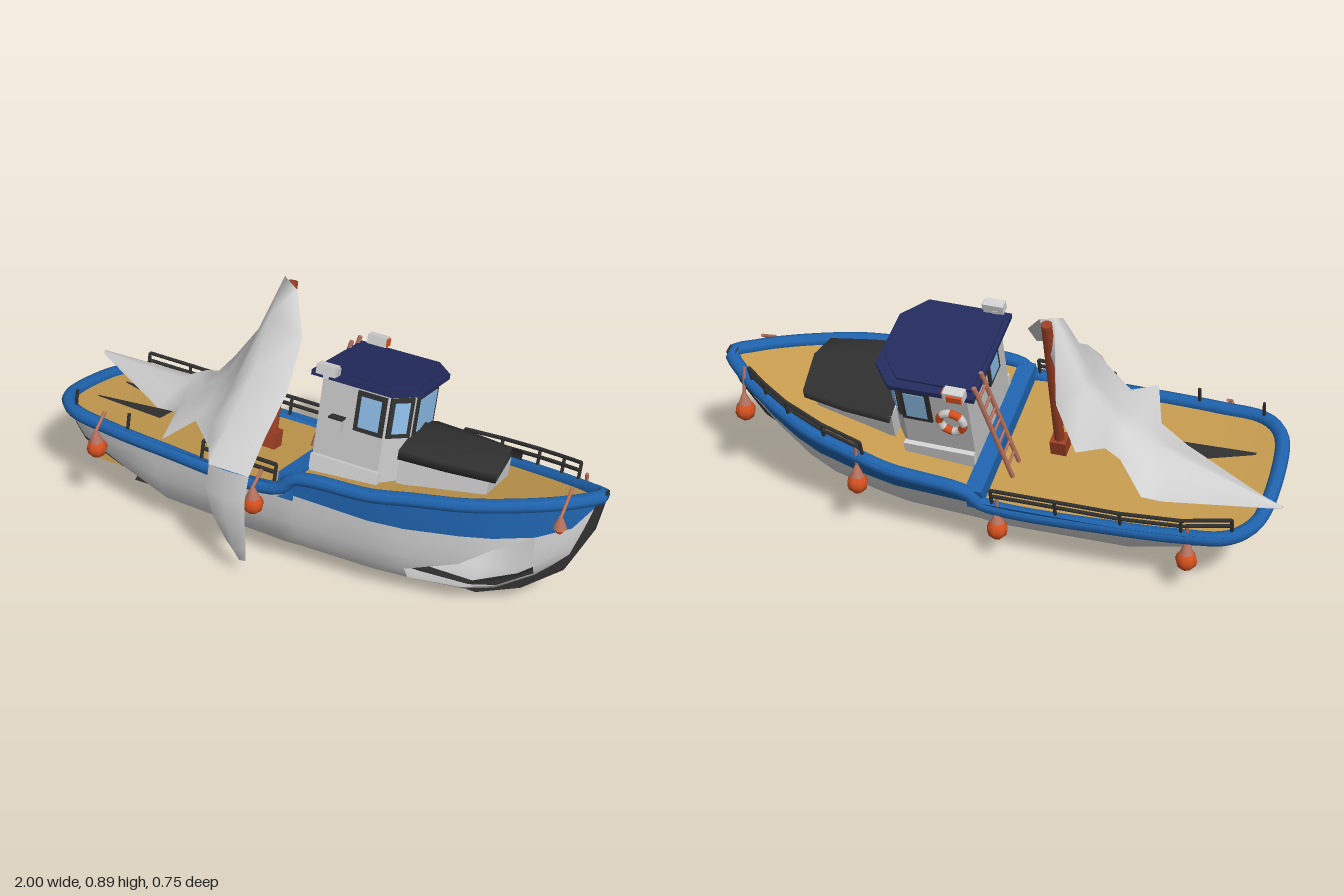
import * as THREE from 'three';

const mat = (name, color) => Object.assign(new THREE.MeshStandardMaterial({ color, side: THREE.DoubleSide }), { name });
const V = (p) => new THREE.Vector3(...p);

// Hull stations: x, half beam, keel height, sheer height, blue band start (0-1), section fullness
const ST = [
  [-.94, 0, .25, .328, .8, .26], [-.935, .17, .24, .328, .8, .26], [-.9, .24, .19, .325, .8, .25],
  [-.84, .28, .145, .316, .82, .25], [-.7, .297, .085, .305, .84, .25], [-.5, .309, .015, .296, .87, .25],
  [-.025, .315, 0, .291, .87, .25], [.03, .315, 0, .34, .76, .25], [.3, .303, 0, .361, .68, .25],
  [.42, .284, 0, .379, .65, .27], [.6, .245, .01, .401, .65, .31], [.7, .205, .04, .416, .62, .34],
  [.82, .145, .12, .437, .55, .42], [.92, .08, .22, .458, .5, .5], [.985, .01, .42, .477, .3, .5]];

function station(x) {
  let i = 1;
  while (i < ST.length - 1 && ST[i][0] < x) i++;
  const a = ST[i - 1], b = ST[i], k = THREE.MathUtils.clamp((x - a[0]) / (b[0] - a[0]), 0, 1);
  return a.map((v, j) => v + (b[j] - v) * k);
}
function hullPoint(s, t, side) {
  const [x, hb, keel, sheer, , full] = s;
  return [x, keel + (sheer - keel) * t, side * hb * Math.pow(t, full)];
}
const gunwale = (x, side, up = 0) => { const s = station(x); return [x, s[3] + up, side * Math.max(s[1] - .015, 0)]; };

// Surface through rows of points; skip(row, column, half) leaves triangles out
function loft(rows, skip = () => false) {
  const n = rows[0].length, idx = [];
  for (let i = 0; i < rows.length - 1; i++) for (let j = 0; j < n - 1; j++) {
    const a = i * n + j, b = a + n;
    if (!skip(i, j, 0)) idx.push(a, b, a + 1);
    if (!skip(i, j, 1)) idx.push(b, b + 1, a + 1);
  }
  const g = new THREE.BufferGeometry();
  g.setAttribute('position', new THREE.Float32BufferAttribute(rows.flat(2), 3));
  g.setIndex(idx);
  g.computeVertexNormals();
  return g;
}
// Horizontal slab with a symmetric outline of [x, z] points
function slab(half, y, h) {
  const pts = [...half, ...half.map(([x, z]) => [x, -z]).reverse()].map(p => new THREE.Vector2(...p));
  return new THREE.ExtrudeGeometry(new THREE.Shape(pts), { depth: h, bevelEnabled: false }).rotateX(-Math.PI / 2).translate(0, y, 0);
}

export function createModel() {
  const M = {
    white: mat('paleGrey', 0xd2d2d2), cabin: mat('cabinGrey', 0xc2c2c2), blue: mat('hullBlue', 0x1f63ad),
    black: mat('charcoal', 0x303030), tan: mat('deckTan', 0xc49a4e), navy: mat('roofNavy', 0x232b5e),
    glass: mat('glassBlue', 0x8ab9e2), orange: mat('buoyOrange', 0xd4501f), brown: mat('mastBrown', 0x9c3f24),
    rope: mat('ropePink', 0xb9745f)
  };
  const root = new THREE.Group(), boat = new THREE.Group();
  root.name = 'stormBoat';
  boat.name = 'heeledBoat';
  boat.rotation.x = -.3;
  boat.position.set(0, .025, .046);
  root.add(boat);
  const add = (name, geo, m, parent = boat) => {
    const o = new THREE.Mesh(geo, M[m]);
    o.name = name;
    parent.add(o);
    return o;
  };
  const box = (name, m, w, h, d, x, y, z, parent) => add(name, new THREE.BoxGeometry(w, h, d).translate(x, y, z), m, parent);
  const rod = (name, m, p, q, r, parent, sides = 6) => {
    const a = V(p), b = V(q), o = add(name, new THREE.CylinderGeometry(r, r, a.distanceTo(b), sides), m, parent);
    o.position.copy(a).lerp(b, .5);
    o.quaternion.setFromUnitVectors(new THREE.Vector3(0, 1, 0), b.sub(a).normalize());
    return o;
  };

  // Hull: pale below, with a ragged hole in the left bow, and a blue band above
  const low = [1, .8, .55, .3, .1, .03, 0];
  const hole = (i, j, half) =>
    (i === 9 && (j === 3 || (j === 2 && half))) ||
    ((i === 10 || i === 11) && j >= 2 && j <= 3) ||
    (i === 10 && j === 1 && half) || (i === 11 && (j === 1 || (j === 0 && half)));
  add('lowerHull', loft(ST.map(s => [
    ...low.map(f => hullPoint(s, f * s[4], 1)), ...low.slice(0, -1).reverse().map(f => hullPoint(s, f * s[4], -1))]), hole), 'white');
  for (const side of [1, -1])
    add('blueBand', loft(ST.map(s => [0, .5, 1].map(f => hullPoint(s, s[4] + (1 - s[4]) * f, side)))), 'blue');

  // Dark plating under the stern counter, tapering forward
  add('counterPlate', loft(ST.slice(0, 5).map((s, k) => [.16, .08, .02, 0, .02, .08, .16].map((t, i) => {
    const [x, y, z] = hullPoint(s, t * [1.4, 1.4, 1.2, 1, .3][k], i < 3 ? 1.02 : -1.02);
    return [x - .004, y - .005, z];
  }))), 'black');

  // Rounded gunwale all the way round
  const ring = ST.slice(1).map(s => gunwale(s[0], 1, -.02));
  const loop = [...ring, ...ring.slice(0, -1).reverse().map(([x, y, z]) => [x, y, -z])].map(V);
  add('gunwale', new THREE.TubeGeometry(new THREE.CatmullRomCurve3(loop, true), 160, .025, 8, true), 'blue');

  // Deck in two levels with a blue step between
  const deck = (xs) => loft(xs.map(x => { const s = station(x); return [1, -1].map(k => [x, s[3] - .02, k * Math.max(s[1] - .02, 0)]); }));
  add('aftDeck', deck([-.93, -.9, -.84, -.7, -.5, -.025]), 'tan');
  add('foreDeck', deck([.03, .3, .42, .6, .7, .82, .92, .98]), 'tan');
  box('deckStep', 'blue', .06, .09, .6, .002, .286, 0);
  for (const k of [1, -1])
    add('deckOpening', loft([[[-.86, .306, .1 * k], [-.86, .306, .09 * k]], [[-.6, .295, .1 * k], [-.6, .295, .01 * k]]]), 'black');

  // Stem, keel, skeg and stern post as one thin band
  const band = [[1, .475], [.98, .33], [.91, .17], [.78, .06], [.63, -.008], [-.72, -.008], [-.68, .07], [-.86, .13], [-.945, .225],
    [-.955, .32], [-.93, .32], [-.9, .24], [-.7, .13], [-.5, .005], [.6, .012], [.75, .09], [.87, .19], [.945, .34], [.965, .475]];
  add('keelAndStem', new THREE.ExtrudeGeometry(new THREE.Shape(band.map(p => new THREE.Vector2(...p))),
    { depth: .036, bevelEnabled: false }).translate(0, 0, -.018), 'black');

  // Rudder and propeller
  box('rudder', 'tan', .095, .1, .016, -.83, .075, 0);
  rod('propellerShaft', 'tan', [-.66, .07, 0], [-.75, .07, 0], .009);
  for (let i = 0; i < 3; i++) {
    const blade = box('propellerBlade', 'tan', .012, .045, .026, 0, .026, 0);
    blade.position.set(-.735, .07, 0);
    blade.rotation.x = i * Math.PI * 2 / 3;
  }

  // Wheelhouse
  add('cabin', slab([[.03, .175], [.27, .175], [.335, .095]], .31, .35), 'cabin');
  add('roof', slab([[-.005, .2], [.29, .203], [.365, .115]], .655, .018), 'navy');
  add('roofCrown', slab([[.01, .17], [.27, .17], [.34, .09]], .673, .007), 'navy');
  const windowAt = (x, z, nx, nz, w, h) => {
    const g = new THREE.Group();
    g.name = 'window';
    g.position.set(x, .57, z);
    g.rotation.y = Math.atan2(nx, nz);
    box('windowFrame', 'black', w, h, .009, 0, 0, .003, g);
    box('windowGlass', 'glass', w - .032, h - .032, .006, 0, 0, .007, g);
    boat.add(g);
  };
  windowAt(.335, 0, 1, 0, .175, .145);
  for (const k of [1, -1]) {
    windowAt(.3025, .135 * k, .08, .065 * k, .088, .14);
    windowAt(.215, .175 * k, 0, k, .105, .14);
    box('cabinSill', 'white', .25, .07, .02, .155, .345, .183 * k);
  }
  windowAt(.03, .06, -1, 0, .1, .13);
  box('wallBox', 'cabin', .045, .045, .03, .105, .505, .19);
  box('wallBoxTrim', 'black', .05, .007, .034, .105, .53, .19);

  // Forward trunk under a dark ridged cover
  add('trunk', slab([[.33, .15], [.63, .105]], .35, .1), 'cabin');
  const gable = (x, w) => [[x, .442, -w], [x, .475, -w], [x, .527, 0], [x, .475, w], [x, .442, w], [x, .5, 0], [x, .442, -w]];
  add('trunkCover', loft([gable(.33, .172), gable(.5, .157), gable(.66, .128)]), 'black');

  // Roof lamps
  for (const k of [1, -1]) {
    box('lampBracket', 'white', .02, .03, .02, .05, .67, .195 * k);
    box('lampBody', 'white', .07, .034, .036, .055, .69, .205 * k);
    box('lampLens', k > 0 ? 'cabin' : 'orange', .008, .026, .026, .092, .69, .205 * k);
  }
  box('sideLight', 'orange', .05, .024, .01, .05, .689, -.226);

  // Lifebuoy on the cabin side
  for (let i = 0; i < 8; i++) {
    const arc = add('lifebuoyPart', new THREE.TorusGeometry(.042, .014, 8, 4, Math.PI / 4), i % 2 ? 'white' : 'orange');
    arc.position.set(.09, .53, -.19);
    arc.rotation.z = i * Math.PI / 4;
  }

  // Ladder up to the roof
  const ladder = (k, z) => [-.09 + .09 * k, .28 + .418 * k, z];
  for (const z of [-.1, -.17]) rod('ladderRail', 'rope', ladder(0, z), ladder(1, z), .008);
  for (let i = 1; i < 8; i++) rod('ladderRung', 'rope', ladder(i / 8, -.1), ladder(i / 8, -.17), .005);

  // Mast
  box('mastFoot', 'brown', .055, .06, .055, -.21, .303, -.01);
  rod('mast', 'brown', [-.21, .28, -.01], [-.21, .878, -.012], .019, boat, 8);

  // Guard rails
  const rail = (xs, side) => xs.forEach((x, i) => {
    rod('railPost', 'black', gunwale(x, side, -.01), gunwale(x, side, .06), .006);
    if (i) for (const up of [.032, .06]) rod('railBar', 'black', gunwale(xs[i - 1], side, up), gunwale(x, side, up), .007);
  });
  rail([-.86, -.7, -.5, -.28, -.06], -1);
  rail([.4, .55, .7, .8, .87], -1);
  rail([-.32, -.18, -.04], 1);
  for (const x of [-.85, -.62]) rail([x], 1);

  // Buoys hang straight down from the gunwale under pale cones
  boat.updateMatrix();
  [[-.72, .32, .28, 1], [-.09, .32, .305, 1], [.9, .405, .07, 1, .014], [.9, .3, -.19, -1],
    [.42, .19, -.332, -1], [-.08, .113, -.328, -1], [-.72, .12, -.3, -1]].forEach(([x, y, z, side, r = .037]) => {
    const g = new THREE.Group();
    g.name = 'buoy';
    add('buoyBall', new THREE.SphereGeometry(r, 8, 6).translate(x, y, z), 'orange', g);
    add('buoyCone', new THREE.CylinderGeometry(.006, .024, .045, 8).translate(x, y + r * .75 + .0225, z), 'rope', g);
    rod('buoyRope', 'rope', [x, y + r * .75 + .04, z], V(gunwale(x, side, .03)).applyMatrix4(boat.matrix).toArray(), .006, g);
    root.add(g);
  });

  // Torn sail draped from the mast head to the stern and over the left side
  add('sail', loft([
    [[-1, .33, -.22], [-1, .335, -.22], [-1, .335, -.215], [-1, .335, -.21], [-1, .33, -.21], [-1, .325, -.21]],
    [[-.62, .3, -.26], [-.62, .36, -.2], [-.61, .4, -.12], [-.61, .38, -.06], [-.62, .36, 0], [-.63, .35, .02]],
    [[-.56, .33, -.3], [-.55, .4, -.2], [-.54, .43, -.12], [-.54, .42, -.05], [-.53, .4, .01], [-.53, .39, .06]],
    [[-.46, .39, -.2], [-.47, .45, -.14], [-.48, .45, -.05], [-.48, .44, .06], [-.48, .43, .14], [-.47, .42, .25]],
    [[-.41, .43, -.21], [-.41, .53, -.16], [-.4, .5, -.06], [-.4, .48, .02], [-.4, .46, .08], [-.4, .45, .14]],
    [[-.34, .46, -.31], [-.33, .65, -.2], [-.32, .61, -.07], [-.31, .55, .05], [-.31, .5, .17], [-.28, .46, .26]],
    [[-.25, .58, -.24], [-.235, .88, -.215], [-.22, .81, -.08], [-.22, .65, .05], [-.22, .55, .22], [-.24, .45, .33]],
    [[-.235, .7, -.21], [-.175, .855, -.19], [-.1, .75, -.08], [-.083, .62, .07], [-.085, .54, .22], [-.09, .45, .33]]]), 'white', root);
  add('sailTail', loft([
    [[-.24, .45, .33], [-.16, .46, .345], [-.09, .45, .33]], [[-.25, .35, .34], [-.17, .36, .37], [-.1, .35, .345]],
    [[-.225, .25, .345], [-.16, .26, .372], [-.1, .25, .35]], [[-.19, .13, .32], [-.15, .13, .35], [-.11, .12, .33]],
    [[-.16, .085, .302], [-.14, .065, .325], [-.12, .06, .315]]]), 'white', root);
  return root;
}
